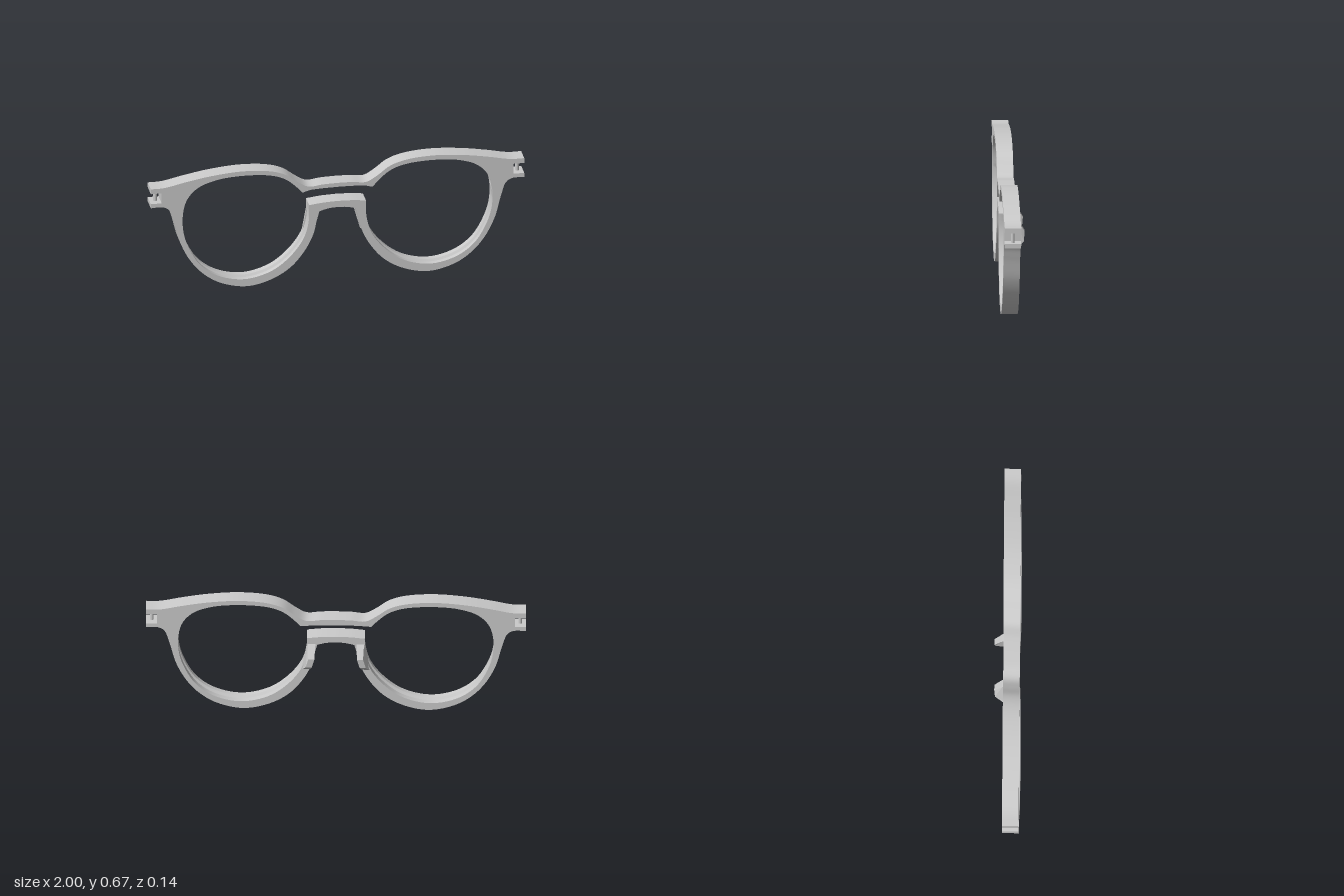
import * as THREE from 'three';
import { toCreasedNormals, mergeGeometries } from 'three/addons/utils/BufferGeometryUtils.js';

const FRONT = 0.07, BACK = -0.017, LEAN = -0.0105;

// Smooth curve through [x, y] pairs; two points stay a straight line
function smooth(pts, n) {
  const curve = new THREE.CatmullRomCurve3(pts.map(([x, y]) => new THREE.Vector3(x, y, 0)), false, 'centripetal');
  return curve.getSpacedPoints(n).map((p) => new THREE.Vector2(p.x, p.y));
}

// Joins segments into one half outline (centre top to centre bottom) and mirrors it; runs clockwise
function mirroredLoop(segments) {
  const half = [];
  segments.forEach(([pts, n], i) => half.push(...smooth(pts, n).slice(i ? 1 : 0)));
  const other = half.slice(1, -1).reverse().map((p) => new THREE.Vector2(-p.x, p.y));
  return [...half, ...other];
}

// Moves points of a clockwise loop outward by a distance given by amount(p)
function offset(loop, amount) {
  const n = loop.length;
  return loop.map((p, i) => {
    const t = loop[(i + 1) % n].clone().sub(loop[(i + n - 1) % n]).normalize();
    return new THREE.Vector2(p.x - t.y * amount(p), p.y + t.x * amount(p));
  });
}

// Wall through several [loop, z] rings, listed front to back
function wall(rings) {
  const n = rings[0][0].length, pos = [], idx = [];
  for (const [loop, z] of rings) for (const p of loop) pos.push(p.x, p.y, z);
  for (let r = 0; r < rings.length - 1; r++) {
    for (let i = 0; i < n; i++) {
      const a = r * n + i, b = r * n + ((i + 1) % n), d = a + n, c = b + n;
      idx.push(a, d, b, b, d, c);
    }
  }
  const g = new THREE.BufferGeometry();
  g.setAttribute('position', new THREE.Float32BufferAttribute(pos, 3));
  g.setIndex(idx);
  return g.toNonIndexed();
}

// Flat face between outline and opening
function cap(outer, hole, z, flip) {
  const shape = new THREE.Shape(outer);
  shape.holes.push(new THREE.Path(hole));
  const g = new THREE.ShapeGeometry(shape);
  g.translate(0, 0, z);
  if (flip) g.index.array.reverse();
  const out = g.toNonIndexed();
  out.deleteAttribute('normal');
  out.deleteAttribute('uv');
  return out;
}

// Slight backward lean of the whole front
function lean(g) {
  const p = g.attributes.position;
  for (let i = 0; i < p.count; i++) p.setZ(i, p.getZ(i) + LEAN * p.getY(i));
  return g;
}

export function createModel() {
  const group = new THREE.Group();
  const mat = new THREE.MeshStandardMaterial({ color: 0xcccccc });
  const add = (name, geo) => {
    const m = new THREE.Mesh(geo, mat);
    m.name = name;
    group.add(m);
    return m;
  };

  // Outline: brow, notched hinge end, lower rim, nose arch
  const outer = mirroredLoop([
    [[[0, 0.56], [0.08, 0.558], [0.155, 0.552], [0.214, 0.585], [0.278, 0.632], [0.36, 0.66], [0.51, 0.673],
      [0.68, 0.66], [0.81, 0.638], [0.93, 0.614], [1, 0.613]], 60],
    [[[1, 0.613], [1, 0.585]], 1],
    [[[1, 0.585], [0.942, 0.585]], 1],
    [[[0.942, 0.585], [0.942, 0.527]], 1],
    [[[0.942, 0.527], [1, 0.527]], 1],
    [[[1, 0.527], [1, 0.503]], 1],
    [[[1, 0.503], [0.935, 0.503], [0.903, 0.484], [0.877, 0.414], [0.84, 0.28], [0.786, 0.174], [0.717, 0.094],
      [0.626, 0.035], [0.49, 0.003], [0.358, 0.03], [0.25, 0.094], [0.171, 0.19], [0.128, 0.28], [0.112, 0.35],
      [0.097, 0.404]], 90],
    [[[0.097, 0.404], [0.05, 0.416], [0, 0.42]], 8],
  ]).reverse();

  // Opening: both lens holes joined through the gap between the two bridges
  const hole = mirroredLoop([
    [[[0, 0.527], [0.1, 0.525], [0.187, 0.519]], 12],
    [[[0.187, 0.519], [0.214, 0.55], [0.278, 0.605], [0.358, 0.635], [0.51, 0.647], [0.65, 0.634], [0.75, 0.596],
      [0.807, 0.532], [0.829, 0.441], [0.823, 0.334], [0.79, 0.238], [0.733, 0.147], [0.64, 0.078], [0.5, 0.045],
      [0.358, 0.078], [0.257, 0.152], [0.182, 0.254], [0.155, 0.35], [0.152, 0.444]], 110],
    [[[0.152, 0.444], [0.08, 0.452], [0, 0.455]], 10],
  ]);
  // Lens groove fades out at the bridges; upper bridge is bevelled toward the front
  const groove = offset(hole, (p) => 0.013 * (p.y < 0.46
    ? THREE.MathUtils.smoothstep(0.43 - p.y, 0, 0.05)
    : THREE.MathUtils.smoothstep(Math.abs(p.x), 0.2, 0.27)));
  const frontHole = hole.map((p) => new THREE.Vector2(p.x,
    p.y + (p.y > 0.5 ? 0.01 * (1 - THREE.MathUtils.smoothstep(Math.abs(p.x), 0.14, 0.2)) : 0)));

  const at = (t) => THREE.MathUtils.lerp(FRONT, BACK, t);
  const frame = mergeGeometries([
    cap(outer, frontHole, FRONT, false),
    cap(outer, hole, BACK, true),
    wall([[outer, FRONT], [outer, BACK]]),
    wall([[frontHole, FRONT], [hole, at(0.3)], [groove, at(0.4)], [groove, at(0.55)], [hole, at(0.65)], [hole, BACK]]),
  ]);
  add('frameFront', toCreasedNormals(lean(frame), 0.6));

  // Nose pads: side profile (depth, height) extruded across, then tapered and bent along the rim
  const profile = [[0.0, 0.41], [-0.028, 0.408], [-0.07, 0.343], [-0.066, 0.29], [-0.024, 0.253], [0.0, 0.253]];
  for (const side of [1, -1]) {
    const pad = new THREE.ExtrudeGeometry(
      new THREE.Shape(profile.map(([z, y]) => new THREE.Vector2(-z, y))), { depth: 1, bevelEnabled: false });
    const p = pad.attributes.position;
    for (let i = 0; i < p.count; i++) {
      const back = p.getX(i), y = p.getY(i), w = p.getZ(i) - 0.5;
      const mid = 0.128 + 0.9 * Math.max(0, 0.33 - y) * 0.4;
      p.setXYZ(i, mid + w * (0.046 - 0.2 * back), y, -back);
    }
    // Mirrored pad gets its winding swapped to keep faces outward
    if (side < 0) {
      for (let i = 0; i < p.count; i += 3) {
        const v = [0, 1, 2].map((k) => [-p.getX(i + k), p.getY(i + k), p.getZ(i + k)]);
        [v[0], v[2], v[1]].forEach((q, k) => p.setXYZ(i + k, ...q));
      }
    }
    pad.computeVertexNormals();
    add(side > 0 ? 'leftNosePad' : 'rightNosePad', pad);

    // Hinge pin standing in the notch
    const pin = add(side > 0 ? 'leftHingePin' : 'rightHingePin', new THREE.CylinderGeometry(0.01, 0.01, 0.064, 20));
    pin.position.set(side * 0.969, 0.556, 0.021);
  }
  return group;
}
